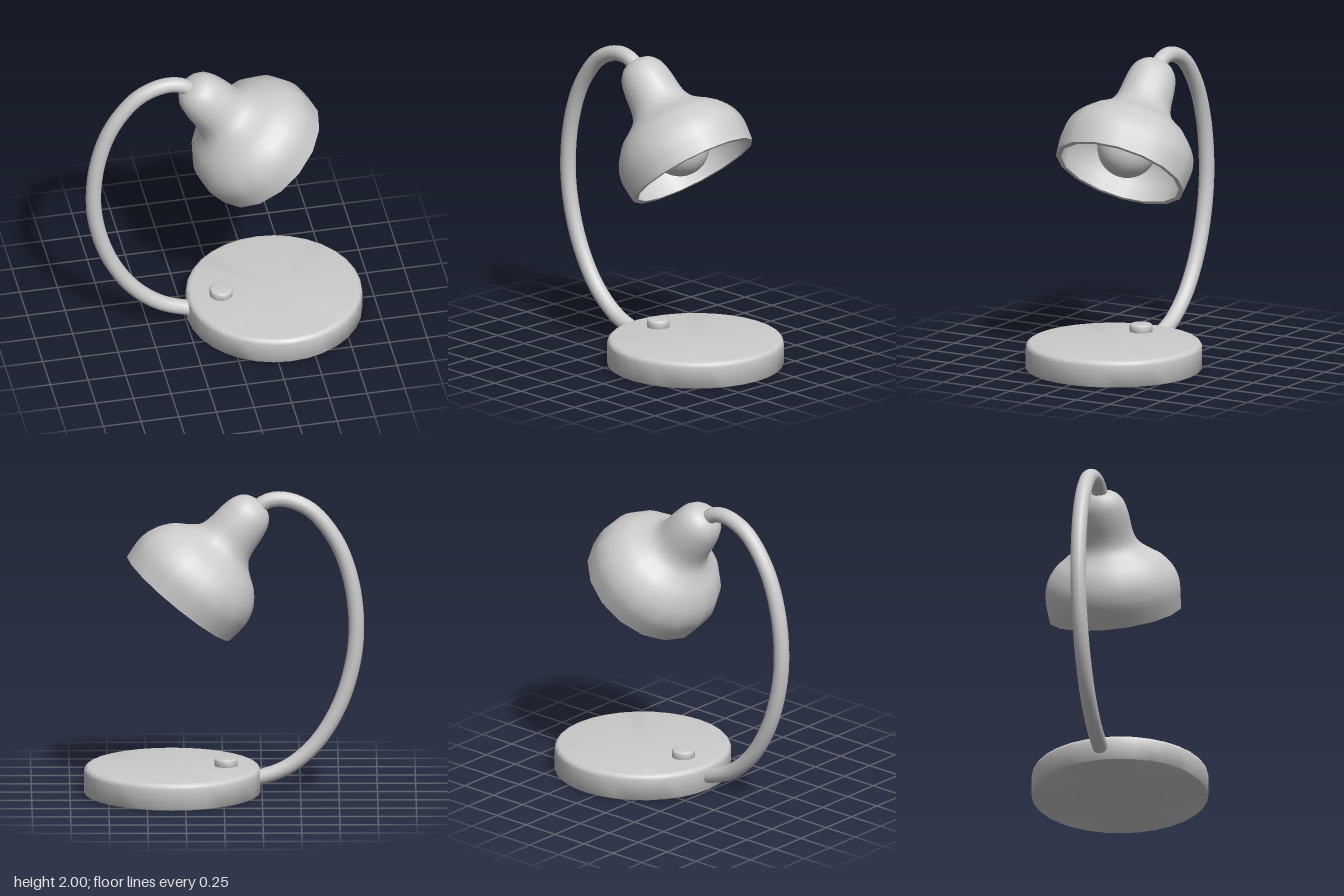
import * as THREE from 'three';
import { toCreasedNormals } from 'three/addons/utils/BufferGeometryUtils.js';

const material = new THREE.MeshStandardMaterial({ color: 0xcccccc });
const vec2 = ([x, y]) => new THREE.Vector2(x, y);

function addPart(parent, name, geometry, position = [0, 0, 0]) {
  const mesh = new THREE.Mesh(geometry, material);
  mesh.name = name;
  mesh.position.set(...position);
  parent.add(mesh);
  return mesh;
}

// Turned solid with smooth curves and sharp edges
function turned(points, segments) {
  return toCreasedNormals(new THREE.LatheGeometry(points, segments), 0.9);
}

// Disc with a rounded top edge
function roundedDisc(radius, height, bevel, segments) {
  const points = [[0, 0], [radius - 0.005, 0], [radius, 0.005]].map(vec2);
  for (let i = 0; i <= 5; i++) {
    const a = (i / 5) * Math.PI / 2;
    points.push(new THREE.Vector2(radius - bevel + bevel * Math.cos(a), height - bevel + bevel * Math.sin(a)));
  }
  points.push(new THREE.Vector2(0, height));
  return turned(points, segments);
}

export function createModel() {
  const lamp = new THREE.Group();
  lamp.name = 'deskLamp';

  // Base and switch
  addPart(lamp, 'base', roundedDisc(0.575, 0.175, 0.035, 32), [0.335, 0, 0]);
  addPart(lamp, 'switchButton', roundedDisc(0.075, 0.07, 0.015, 20), [-0.015, 0.155, 0]);

  // Curved arm from the base to the shade neck
  const path = new THREE.CatmullRomCurve3([
    [-0.15, 0.085], [-0.24, 0.1], [-0.42, 0.17], [-0.6, 0.325], [-0.75, 0.57], [-0.838, 0.85],
    [-0.863, 1.1], [-0.83, 1.4], [-0.735, 1.665], [-0.58, 1.865], [-0.45, 1.935],
    [-0.355, 1.95], [-0.28, 1.935], [-0.225, 1.9], [-0.17, 1.85],
  ].map(([x, y]) => new THREE.Vector3(x, y, 0)));
  addPart(lamp, 'arm', new THREE.TubeGeometry(path, 72, 0.051, 16));

  // Tilted head, with its local y running from the rim to the neck
  const head = new THREE.Group();
  head.name = 'head';
  head.position.set(0.292, 1.295, -0.02);
  head.quaternion.setFromUnitVectors(
    new THREE.Vector3(0, 1, 0),
    new THREE.Vector3(-0.632, 0.775, 0.022).normalize()
  );
  lamp.add(head);

  // Bell-shaped shade: inner wall down to the rim, then outer wall up to the crown
  const outer = new THREE.SplineCurve([
    [0.436, 0], [0.447, 0.11], [0.443, 0.18], [0.415, 0.26], [0.35, 0.345], [0.275, 0.4],
    [0.212, 0.455], [0.183, 0.525], [0.17, 0.64], [0.149, 0.735], [0.107, 0.795], [0.05, 0.822], [0, 0.827],
  ].map(vec2)).getPoints(36);
  const inner = new THREE.SplineCurve([
    [0, 0.55], [0.1, 0.53], [0.16, 0.46], [0.24, 0.385], [0.32, 0.325],
    [0.385, 0.24], [0.412, 0.16], [0.415, 0.09], [0.403, 0],
  ].map(vec2)).getPoints(24);
  outer[outer.length - 1].x = 0;
  addPart(head, 'shade', turned([...inner, ...outer], 16));

  // Bulb and its socket
  addPart(head, 'bulb', new THREE.SphereGeometry(0.195, 32, 20), [0, 0.183, 0.006]);
  addPart(head, 'socket', new THREE.CylinderGeometry(0.08, 0.08, 0.24, 20), [0, 0.43, 0.006]);

  return lamp;
}
